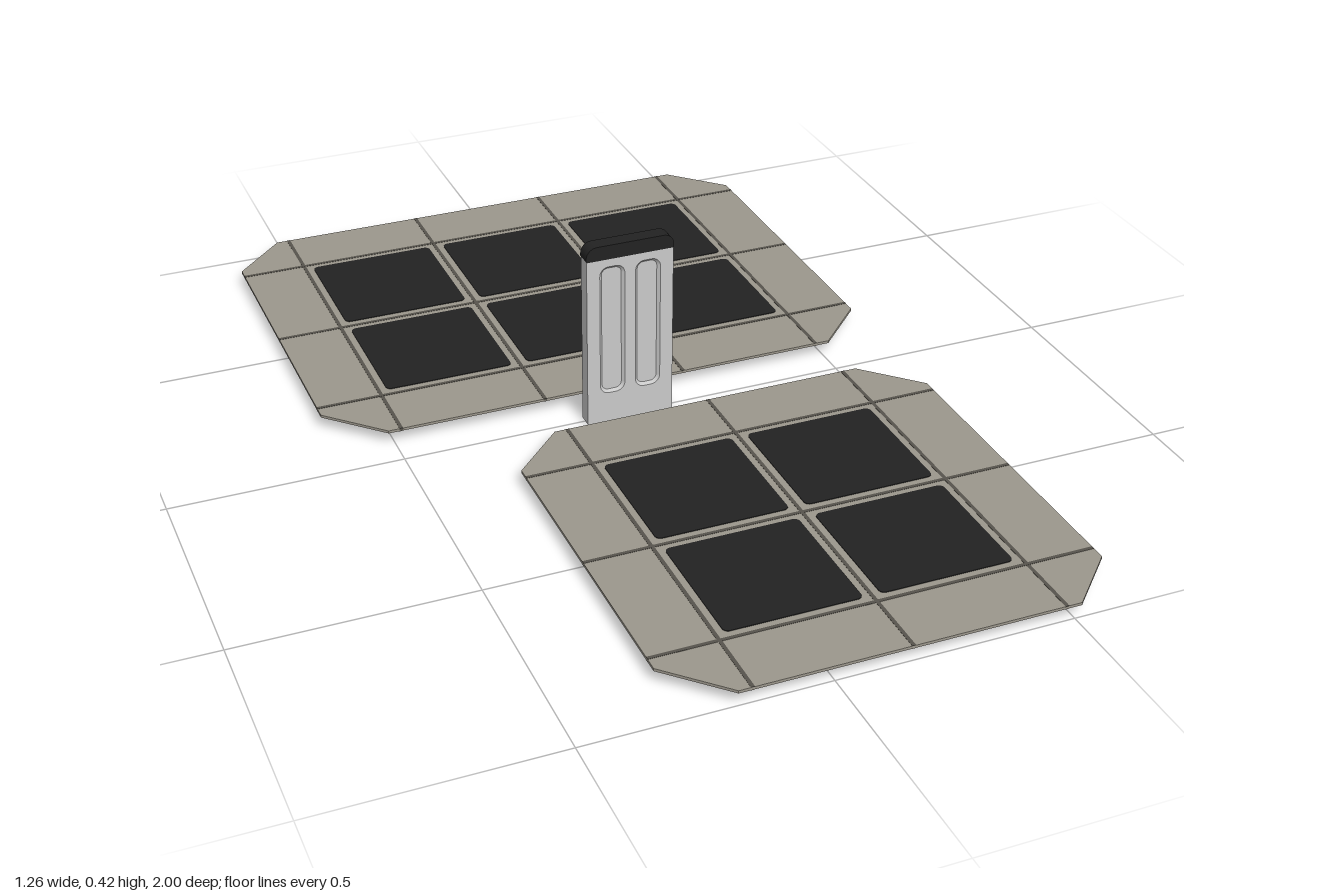
import * as THREE from 'three';

const material = (name, color) => {
  const m = new THREE.MeshStandardMaterial({ color });
  m.name = name;
  return m;
};

// Rounded rectangle about (cx, cy); separate radii for top and bottom corners
function roundedRect(shape, cx, cy, w, h, rTop, rBottom = rTop) {
  const l = cx - w / 2, r = cx + w / 2, b = cy - h / 2, t = cy + h / 2;
  shape.moveTo(l + rBottom, b).lineTo(r - rBottom, b);
  if (rBottom) shape.absarc(r - rBottom, b + rBottom, rBottom, -Math.PI / 2, 0);
  shape.lineTo(r, t - rTop).absarc(r - rTop, t - rTop, rTop, 0, Math.PI / 2);
  shape.lineTo(l + rTop, t).absarc(l + rTop, t - rTop, rTop, Math.PI / 2, Math.PI);
  shape.lineTo(l, b + rBottom);
  if (rBottom) shape.absarc(l + rBottom, b + rBottom, rBottom, Math.PI, Math.PI * 1.5);
  return shape;
}

// Extrusion centred on z = 0
function slab(shape, depth) {
  const g = new THREE.ExtrudeGeometry(shape, { depth, bevelEnabled: false, curveSegments: 6 });
  return g.translate(0, 0, -depth / 2);
}

// Sloping wall joining two outlines that have equal point counts
function slope(outer, zOuter, inner, zInner) {
  const pos = [], index = [], n = outer.length;
  outer.forEach((p, i) => pos.push(p.x, p.y, zOuter, inner[i].x, inner[i].y, zInner));
  for (let i = 0; i < n; i++) {
    const a = 2 * i, b = 2 * ((i + 1) % n);
    index.push(a, b, a + 1, b, b + 1, a + 1);
  }
  const g = new THREE.BufferGeometry();
  g.setAttribute('position', new THREE.Float32BufferAttribute(pos, 3));
  g.setIndex(index);
  g.computeVertexNormals();
  return g;
}

export function createModel() {
  const model = new THREE.Group();
  const stone = material('warm grey tile', 0x9c978c);
  const seamMat = material('dark grey seam', 0x57544d);
  const black = material('black', 0x222222);
  const metal = material('light grey metal', 0xc9c9c9);

  const add = (parent, name, geometry, mat, x = 0, y = 0, z = 0) => {
    const mesh = new THREE.Mesh(geometry, mat);
    mesh.name = name;
    mesh.position.set(x, y, z);
    parent.add(mesh);
    return mesh;
  };

  const padY = 0.03, cell = 0.322, cut = 0.115;

  // Flat tiled pad with clipped corners, seams and dark inset squares
  function addPad(name, x0, x1, z0, z1, seamsX, seamsZ) {
    const pad = new THREE.Group();
    pad.name = name;
    pad.position.y = padY;
    model.add(pad);

    const outline = new THREE.Shape([
      [x0 + cut, z0], [x1 - cut, z0], [x1, z0 + cut], [x1, z1 - cut],
      [x1 - cut, z1], [x0 + cut, z1], [x0, z1 - cut], [x0, z0 + cut],
    ].map(([x, z]) => new THREE.Vector2(x, z)));
    add(pad, 'padBase', slab(outline, 0.006).rotateX(Math.PI / 2), stone);

    for (const x of seamsX)
      add(pad, 'seam', new THREE.BoxGeometry(0.008, 0.007, z1 - z0), seamMat, x, 0, (z0 + z1) / 2);
    for (const z of seamsZ)
      add(pad, 'seam', new THREE.BoxGeometry(x1 - x0, 0.0072, 0.008), seamMat, (x0 + x1) / 2, 0, z);

    const square = slab(roundedRect(new THREE.Shape(), 0, 0, 0.286, 0.286, 0.012), 0.009);
    square.rotateX(Math.PI / 2);
    for (const x of seamsX.slice(0, -1))
      for (const z of seamsZ.slice(0, -1))
        add(pad, 'darkSquare', square, black, x + cell / 2, 0, z + cell / 2);
  }

  addPad('backPad', -0.628, 0.628, -1, -0.067,
    [-0.485, -0.163, 0.159, 0.481], [-0.856, -0.534, -0.212]);
  addPad('frontPad', -0.306, 0.628, 0.066, 1,
    [-0.163, 0.159, 0.481], [0.209, 0.531, 0.853]);

  // Upright post: a core between two faces pierced by rounded recesses
  const post = new THREE.Group();
  post.name = 'post';
  model.add(post);
  const half = 0.097, top = 0.39, depth = 0.032, recess = 0.006;
  const face = new THREE.Shape();
  face.moveTo(-half, 0).lineTo(half, 0).lineTo(half, top).lineTo(-half, top).closePath();
  const centres = [-0.04, 0.04];
  for (const x of centres)
    face.holes.push(roundedRect(new THREE.Path(), x, 0.22, 0.056, 0.302, 0.02));

  add(post, 'postCore', new THREE.BoxGeometry(half * 2, top, depth - 2 * recess), metal, 0, top / 2, 0);
  for (const side of [1, -1]) {
    const z = side * (depth - recess) / 2;
    add(post, 'postFace', slab(face, recess), metal, 0, 0, z);
    for (const x of centres) {
      const ring = (w, h, r) => {
        const pts = roundedRect(new THREE.Path(), x, 0.22, w, h, r).getPoints(6);
        return pts;
      };
      const wall = slope(ring(0.056, 0.302, 0.02), depth / 2,
        ring(0.044, 0.29, 0.014), depth / 2 - recess);
      add(post, 'recessBevel', wall, metal).rotation.y = side > 0 ? 0 : Math.PI;
    }
  }

  // Black cap with rounded upper corners
  const capShape = roundedRect(new THREE.Shape(), 0, 0.405, 0.196, 0.032, 0.024, 0.003);
  add(post, 'postCap', slab(capShape, depth + 0.002), black);

  return model;
}
